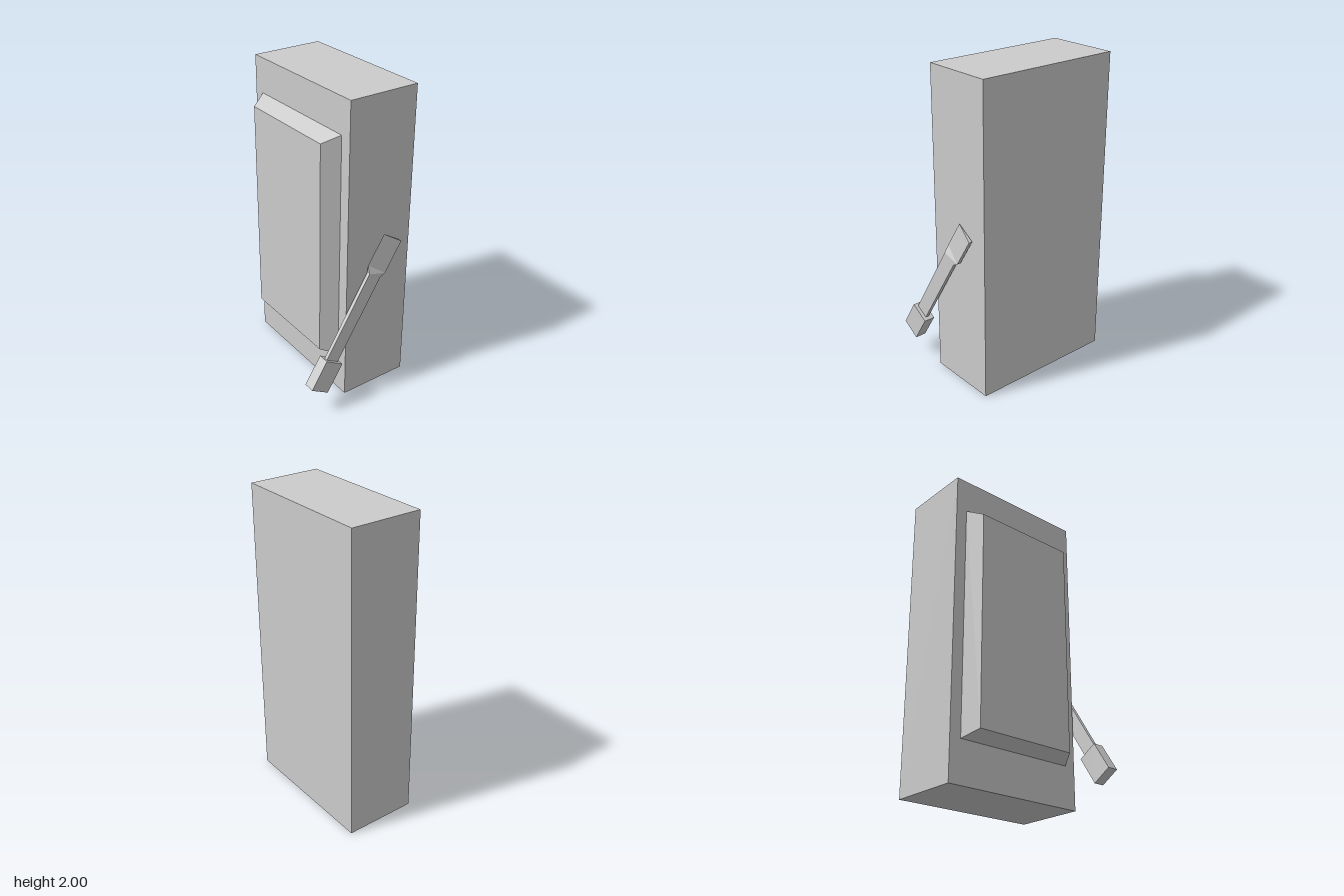
import * as THREE from 'three';

const material = new THREE.MeshStandardMaterial({ color: 0xcccccc, flatShading: true });

// Skins a stack of four-cornered rings and caps both ends (rings run counterclockwise seen from the last ring).
function loft(name, rings) {
  const positions = [];
  const quad = (a, b, c, d) => [a, b, c, a, c, d].forEach((p) => positions.push(...p));
  for (let r = 0; r < rings.length - 1; r++) {
    for (let i = 0; i < 4; i++) {
      const j = (i + 1) % 4;
      quad(rings[r][i], rings[r][j], rings[r + 1][j], rings[r + 1][i]);
    }
  }
  quad(...[...rings[0]].reverse());
  quad(...rings[rings.length - 1]);
  const geometry = new THREE.BufferGeometry();
  geometry.setAttribute('position', new THREE.Float32BufferAttribute(positions, 3));
  geometry.computeVertexNormals();
  const mesh = new THREE.Mesh(geometry, material);
  mesh.name = name;
  return mesh;
}

// Upright rectangle at depth z.
const rectangle = (x0, x1, y0, y1, z) => [[x0, y0, z], [x1, y0, z], [x1, y1, z], [x0, y1, z]];

// Lever cross-section from its front [z, y] to its back [z, y]; xFront narrows the front edge.
const section = (x0, x1, [zf, yf], [zb, yb], xFront = x1) =>
  [[x0, yf, zf], [xFront, yf, zf], [x1, yb, zb], [x0, yb, zb]];

export function createModel() {
  const model = new THREE.Group();
  model.name = 'leverCabinet';

  // Main box
  const cabinet = new THREE.Mesh(new THREE.BoxGeometry(0.963, 2, 0.469), material);
  cabinet.name = 'cabinet';
  cabinet.position.set(-0.0325, 1, -0.15);
  model.add(cabinet);

  // Raised front panel with bevelled sides
  model.add(loft('frontPanel', [
    rectangle(-0.438, 0.374, 0.268, 1.775, 0.085),
    rectangle(-0.38, 0.315, 0.315, 1.727, 0.187),
  ]));

  // Side lever: square shaft flaring into a wedge-shaped paddle, with a block grip
  const lever = new THREE.Group();
  lever.name = 'lever';
  const [inner, outer] = [0.465, 0.489];
  lever.add(
    loft('leverArm', [
      section(inner, outer, [0.256, 0.371], [0.174, 0.322]),
      section(inner, outer, [-0.055, 0.877], [-0.14, 0.827]),
      section(inner, outer, [-0.061, 0.925], [-0.177, 0.845], inner),
      section(inner, outer, [-0.176, 1.104], [-0.294, 1.031], inner),
    ]),
    loft('leverGrip', [
      section(0.439, 0.511, [0.382, 0.206], [0.264, 0.134]),
      section(0.439, 0.511, [0.272, 0.381], [0.154, 0.309]),
    ]),
  );
  model.add(lever);
  return model;
}
